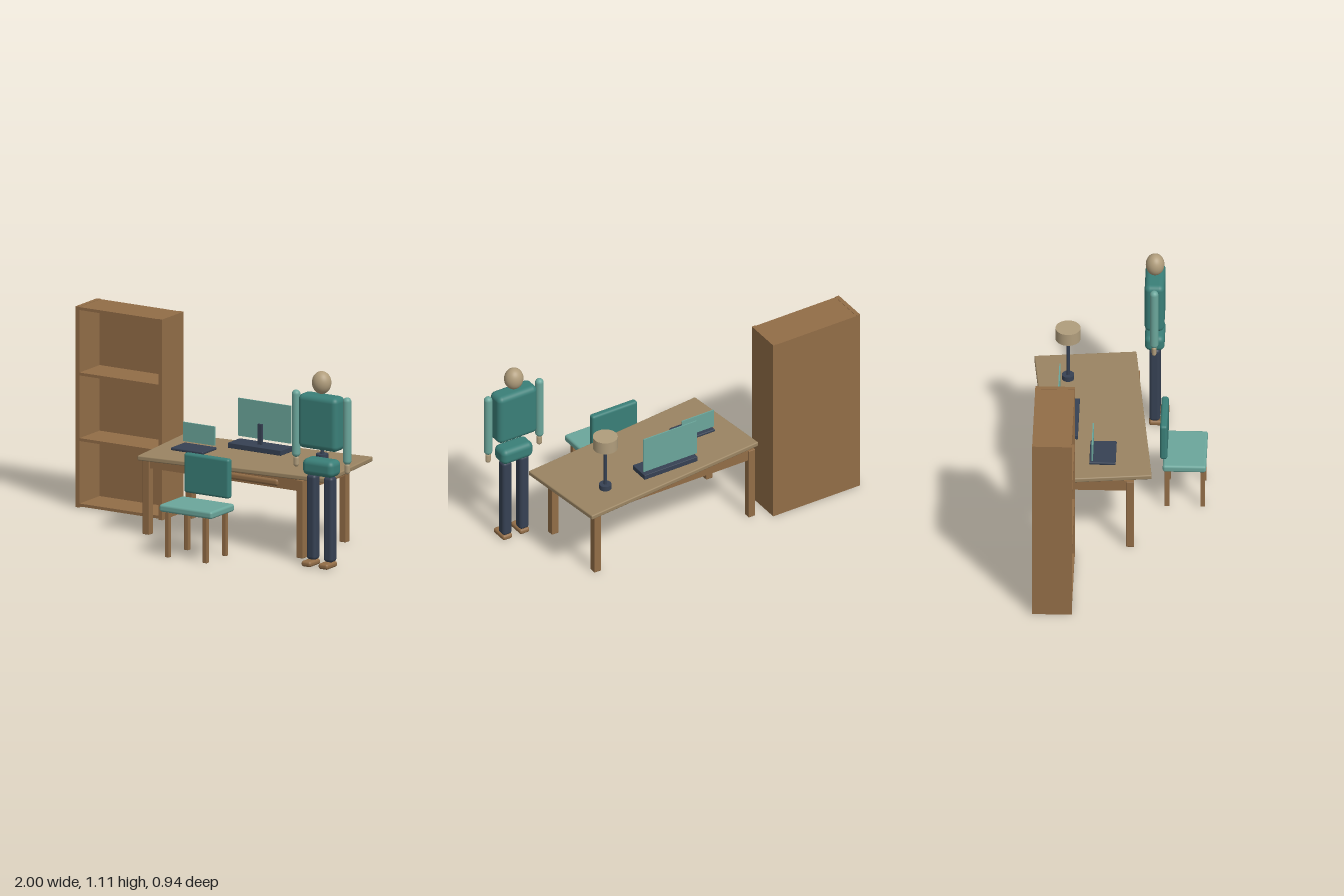
import * as THREE from 'three';
import { RoundedBoxGeometry } from 'three/addons/geometries/RoundedBoxGeometry.js';

const mat = (color) => new THREE.MeshStandardMaterial({ color });

export function createModel() {
  const wood = mat(0x926d47), top = mat(0x9a8462), teal = mat(0x3a7f78);
  const mint = mat(0x6ba69b), navy = mat(0x364153), tan = mat(0xb09d7c);
  const model = new THREE.Group();

  const group = (name) => {
    const g = new THREE.Group();
    g.name = name;
    model.add(g);
    return g;
  };
  const add = (parent, name, geometry, material, x, y, z) => {
    const m = new THREE.Mesh(geometry, material);
    m.name = name;
    m.position.set(x, y, z);
    parent.add(m);
    return m;
  };
  // Box given by its extents; a radius rounds its edges
  const box = (parent, name, material, [x0, x1], [y0, y1], [z0, z1], r = 0) => {
    const s = [x1 - x0, y1 - y0, z1 - z0];
    const geo = r ? new RoundedBoxGeometry(...s, 4, r) : new THREE.BoxGeometry(...s);
    return add(parent, name, geo, material, (x0 + x1) / 2, (y0 + y1) / 2, (z0 + z1) / 2);
  };
  const cylinder = (parent, name, material, r, y0, y1, x, z) =>
    add(parent, name, new THREE.CylinderGeometry(r, r, y1 - y0, 32), material, x, (y0 + y1) / 2, z);
  const around = (c, w) => [c - w / 2, c + w / 2];

  // Bookcase
  const bookcase = group('bookcase');
  box(bookcase, 'bookcaseBack', wood, [-1, -0.45], [0.002, 1.105], [-0.428, -0.416]);
  for (const x of [-0.988, -0.462])
    box(bookcase, 'bookcaseSide', wood, around(x, 0.024), [0.002, 1.107], [-0.427, -0.215]);
  for (const y of [0.016, 0.376, 0.737, 1.097])
    box(bookcase, 'shelf', wood, [-0.976, -0.474], around(y, 0.016), [-0.42, -0.217]);

  // Desk: slab turned slightly over a straight frame
  const desk = group('desk');
  const slab = box(desk, 'deskTop', top, around(0.188, 1.134), [0.43, 0.457], around(-0.14, 0.548), 0.007);
  slab.rotation.y = 0.104;
  for (const x of [-0.354, 0.622])
    for (const z of [0.076, -0.348])
      box(desk, 'deskLeg', wood, around(x, 0.042), [0.002, 0.43], around(z, 0.042), 0.003);
  for (const z of [0.076, -0.348])
    box(desk, 'longApron', wood, [-0.334, 0.602], [0.368, 0.43], around(z, 0.026));
  for (const x of [-0.354, 0.622])
    box(desk, 'sideApron', wood, around(x, 0.026), [0.368, 0.43], [-0.328, 0.056]);
  box(desk, 'drawerFront', wood, [-0.11, 0.484], [0.376, 0.417], [0.06, 0.098], 0.016);
  const knob = add(desk, 'drawerKnob', new THREE.SphereGeometry(0.007, 16, 12), navy, 0.187, 0.392, 0.105);
  knob.scale.y = 0.8;

  // Desk lamp
  const lamp = group('lamp');
  cylinder(lamp, 'lampBase', navy, 0.033, 0.457, 0.485, 0.521, -0.284);
  cylinder(lamp, 'lampPole', navy, 0.0095, 0.485, 0.73, 0.521, -0.284);
  cylinder(lamp, 'lampShade', tan, 0.067, 0.72, 0.791, 0.521, -0.284);

  // Monitor
  const monitor = group('monitor');
  box(monitor, 'monitorBase', navy, [-0.033, 0.303], [0.457, 0.486], [-0.333, -0.214], 0.003);
  box(monitor, 'monitorStand', navy, [0.122, 0.148], [0.48, 0.598], around(-0.273, 0.012));
  box(monitor, 'monitorScreen', mint, [-0.033, 0.303], [0.503, 0.711], around(-0.32, 0.007));

  // Laptop
  const laptop = group('laptop');
  box(laptop, 'laptopBase', navy, [-0.262, -0.059], [0.457, 0.472], [-0.146, -0.005], 0.005);
  box(laptop, 'laptopScreen', mint, [-0.261, -0.06], [0.483, 0.588], around(-0.13, 0.007));

  // Chair, its back towards the desk
  const chair = group('chair');
  box(chair, 'seat', mint, [-0.031, 0.303], [0.248, 0.289], [0.239, 0.471], 0.013);
  box(chair, 'backrest', teal, [-0.008, 0.278], [0.314, 0.532], [0.224, 0.263], 0.014);
  for (const x of [0.015, 0.255])
    for (const z of [0.452, 0.261])
      box(chair, 'chairLeg', wood, around(x, 0.025), [0.002, 0.25], around(z, 0.025), 0.002);

  // Standing figure
  const figure = group('figure');
  const cx = 0.811, cz = 0.172;
  add(figure, 'head', new THREE.SphereGeometry(1, 32, 24), tan, cx, 1.01, cz).scale.set(0.053, 0.062, 0.05);
  box(figure, 'torso', teal, around(cx, 0.248), [0.646, 0.943], around(cz, 0.106), 0.03);
  box(figure, 'hips', teal, around(cx, 0.195), [0.5, 0.591], around(cz, 0.106), 0.03);
  for (const side of [-1, 1]) {
    const ax = cx + side * 0.162, lx = cx + side * 0.054;
    add(figure, 'arm', new THREE.CapsuleGeometry(0.023, 0.324, 8, 20), mint, ax, 0.764, cz);
    add(figure, 'hand', new THREE.CapsuleGeometry(0.016, 0.03, 8, 16), tan, ax, 0.557, cz).scale.z = 0.8;
    box(figure, 'leg', navy, around(lx, 0.058), [0.031, 0.5], around(cz, 0.058), 0.018);
    box(figure, 'shoe', wood, around(lx, 0.06), [0.002, 0.033], [0.142, 0.248], 0.013);
  }

  // Stand the scene on the ground
  model.position.y = -0.002;
  return model;
}
